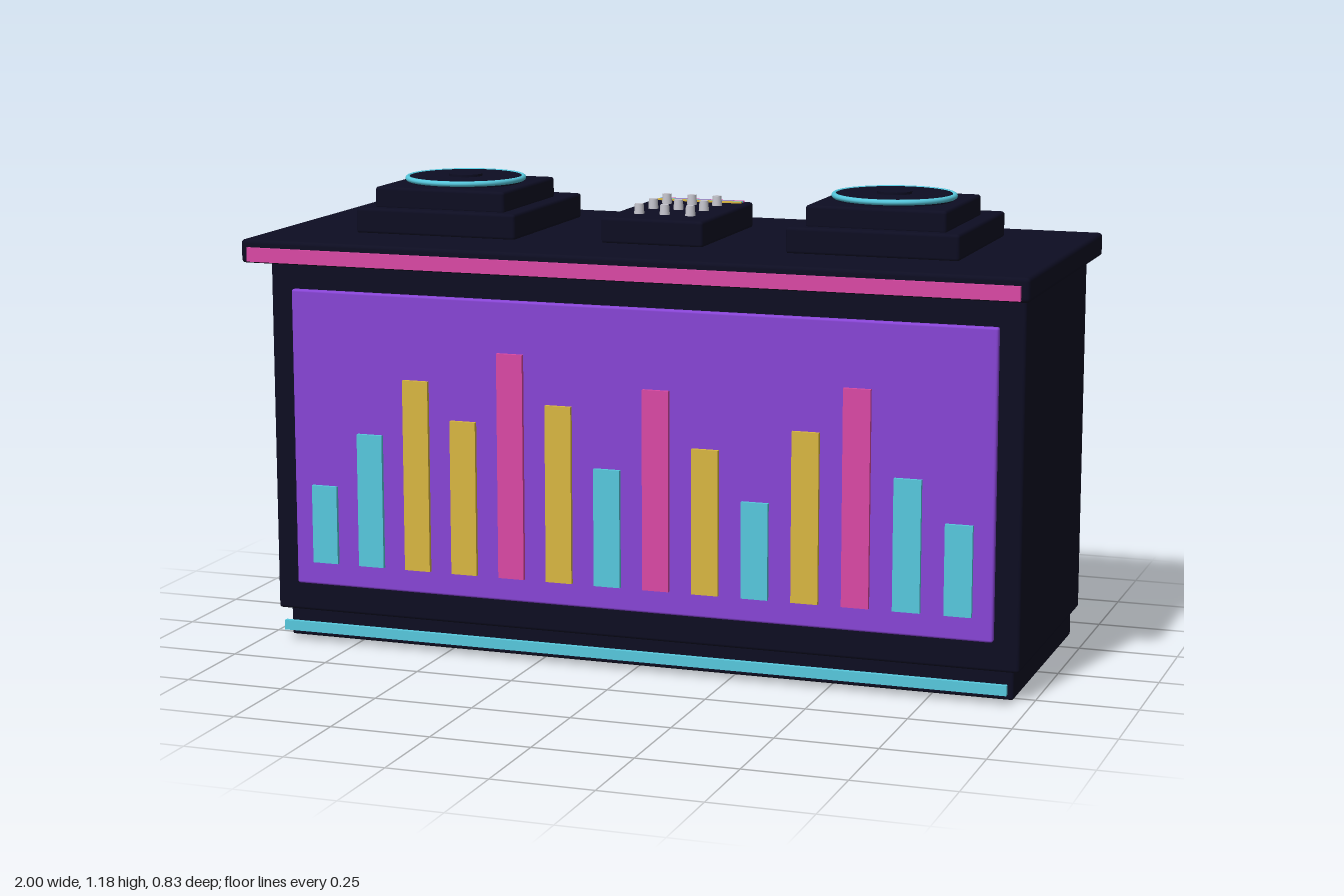
import * as THREE from 'three';
import { RoundedBoxGeometry } from 'three/addons/geometries/RoundedBoxGeometry.js';

const material = (name, color) => {
  const m = new THREE.MeshStandardMaterial({ color });
  m.name = name;
  return m;
};

export function createModel() {
  const dark = material('midnight', 0x0d0d22);
  const purple = material('purple', 0x8845d6);
  const cyan = material('cyan', 0x57c9de);
  const pink = material('pink', 0xdb49a5);
  const yellow = material('gold', 0xdab742);
  const grey = material('knobGrey', 0xc4c4cc);

  const root = new THREE.Group();
  root.name = 'djBooth';

  const add = (parent, name, geometry, mat, x = 0, y = 0, z = 0) => {
    const mesh = new THREE.Mesh(geometry, mat);
    mesh.name = name;
    mesh.position.set(x, y, z);
    parent.add(mesh);
    return mesh;
  };
  // Box given by its min and max on each axis, rounded when r > 0
  const box = (parent, name, mat, [x0, x1], [y0, y1], [z0, z1], r = 0) => {
    const size = [x1 - x0, y1 - y0, z1 - z0];
    const geometry = r ? new RoundedBoxGeometry(...size, 2, r) : new THREE.BoxGeometry(...size);
    return add(parent, name, geometry, mat, (x0 + x1) / 2, (y0 + y1) / 2, (z0 + z1) / 2);
  };

  // Cabinet
  box(root, 'plinth', dark, [-0.95, 0.95], [0, 0.076], [-0.375, 0.272], 0.006);
  box(root, 'body', dark, [-0.97, 0.97], [0.076, 0.983], [-0.375, 0.304], 0.008);
  box(root, 'tabletop', dark, [-1, 1], [0.983, 1.042], [-0.416, 0.409], 0.01);

  // Light strips
  box(root, 'baseLight', cyan, [-0.945, 0.945], [0.025, 0.05], [0.312, 0.325]);
  box(root, 'edgeLight', pink, [-0.98, 0.98], [0.988, 1.023], [0.4, 0.418]);

  // Front screen with equalizer bars
  box(root, 'screen', purple, [-0.908, 0.908], [0.15, 0.908], [0.3, 0.32], 0.006);
  const bars = new THREE.Group();
  bars.name = 'equalizerBars';
  root.add(bars);
  const heights = [0.41, 0.55, 0.695, 0.6, 0.777, 0.655, 0.505, 0.71, 0.572, 0.45, 0.632, 0.745, 0.535, 0.433];
  const barColors = [...'ccyypycpycypcc'];
  const palette = { c: cyan, y: yellow, p: pink };
  heights.forEach((top, i) => {
    const x = (i - 6.5) * 0.1267;
    box(bars, 'bar' + (i + 1), palette[barColors[i]], [x - 0.034, x + 0.034], [0.21, top], [0.319, 0.33]);
  });

  // Two turntables
  for (const side of [-1, 1]) {
    const deck = new THREE.Group();
    deck.name = side < 0 ? 'rightTurntable' : 'leftTurntable';
    deck.position.set(side * 0.566, 0, 0);
    root.add(deck);
    box(deck, 'deckBase', dark, [-0.215, 0.215], [1.04, 1.105], [-0.27, 0.2], 0.008);
    box(deck, 'deckPlate', dark, [-0.175, 0.175], [1.1, 1.156], [-0.18, 0.17], 0.008);
    add(deck, 'platter', new THREE.CylinderGeometry(0.143, 0.143, 0.018, 48), dark, 0, 1.163, -0.005);
    const ring = add(deck, 'platterRing', new THREE.TorusGeometry(0.147, 0.007, 10, 64), cyan, 0, 1.167, -0.005);
    ring.rotation.x = Math.PI / 2;
    add(deck, 'platterHub', new THREE.CylinderGeometry(0.043, 0.043, 0.008, 32), dark, 0, 1.174, -0.005);
  }

  // Mixer with knobs and indicator strips
  const mixer = new THREE.Group();
  mixer.name = 'mixer';
  root.add(mixer);
  box(mixer, 'mixerBase', dark, [-0.132, 0.132], [1.04, 1.105], [-0.235, 0.175], 0.008);
  const knob = new THREE.CylinderGeometry(0.011, 0.013, 0.026, 16);
  for (const x of [-0.067, 0, 0.067]) {
    for (const z of [-0.135, -0.03, 0.075]) add(mixer, 'knob', knob, grey, x, 1.117, z);
  }
  [pink, cyan, yellow].forEach((mat, i) => {
    const z = -0.217 + i * 0.0105;
    box(mixer, 'indicatorStrip', mat, [-0.112, 0.112], [1.103, 1.109], [z - 0.005, z + 0.005]);
  });

  return root;
}
